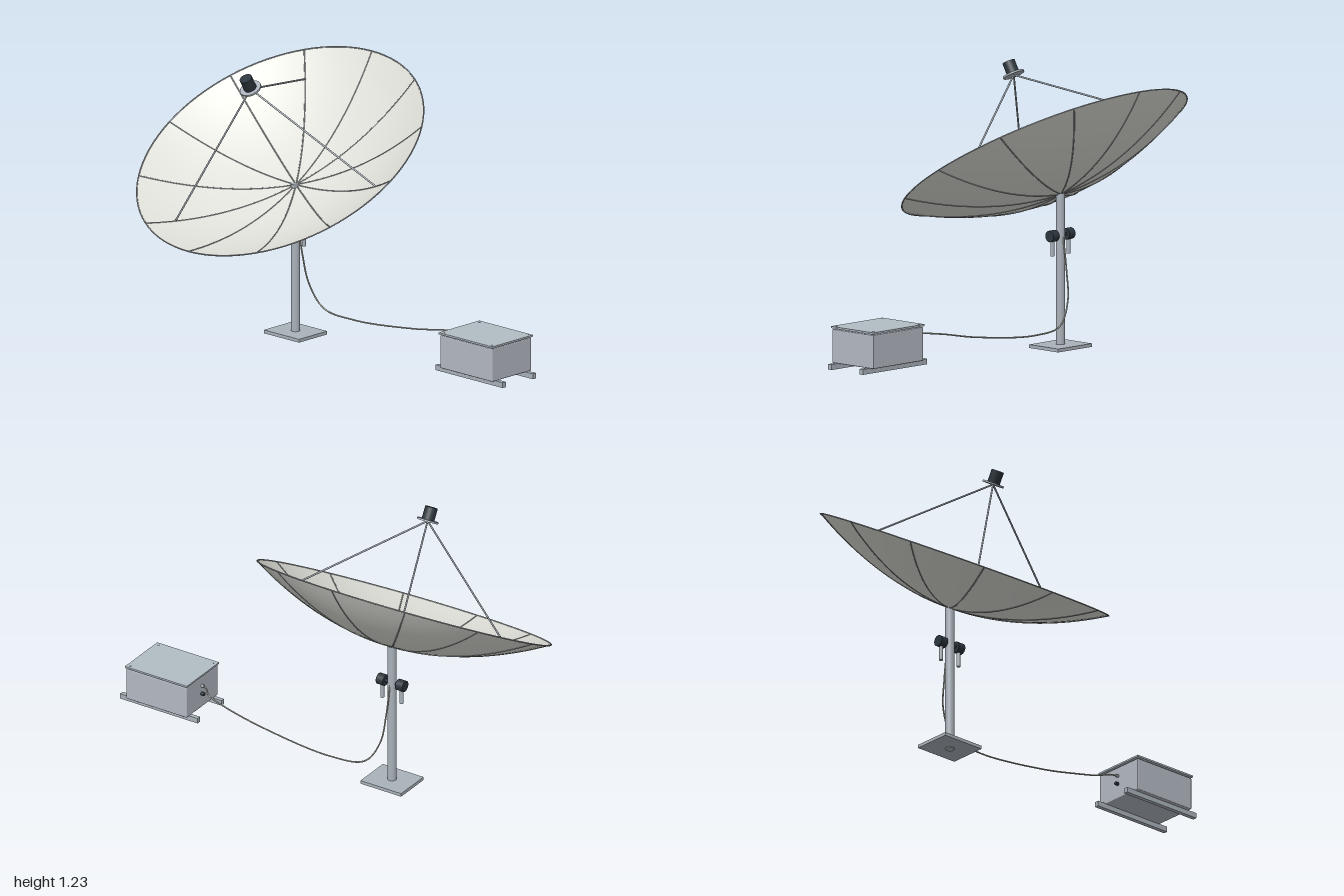
import * as THREE from 'three';
import { RoundedBoxGeometry } from 'three/addons/geometries/RoundedBoxGeometry.js';

const mat = (name, color, side = THREE.FrontSide) => {
  const m = new THREE.MeshStandardMaterial({ color, side });
  m.name = name;
  return m;
};

export function createModel() {
  const dishPaint = mat('dish off-white', 0xdfe0d9, THREE.DoubleSide);
  const ribPaint = mat('rib grey', 0xa6abae);
  const steel = mat('steel grey', 0xa9b2ba);
  const boxPaint = mat('cabinet grey', 0xb4b9c3);
  const lidPaint = mat('lid grey', 0xb2bcc4);
  const black = mat('dark housing', 0x2c363e);
  const cableGrey = mat('cable grey', 0xb4b4aa);

  const model = new THREE.Group();
  model.name = 'satelliteDishStation';
  const add = (parent, name, geo, material, x = 0, y = 0, z = 0) => {
    const mesh = new THREE.Mesh(geo, material);
    mesh.name = name;
    mesh.position.set(x, y, z);
    parent.add(mesh);
    return mesh;
  };
  const cyl = (r, h, sides = 24) => new THREE.CylinderGeometry(r, r, h, sides);
  // Straight rod between two points
  const rod = (parent, name, a, b, r, material) => {
    const dir = b.clone().sub(a);
    const mesh = add(parent, name, cyl(r, dir.length(), 10), material);
    mesh.position.copy(a).addScaledVector(dir, 0.5);
    mesh.quaternion.setFromUnitVectors(new THREE.Vector3(0, 1, 0), dir.normalize());
  };

  // Reflector assembly: local origin at the dish vertex, local y along its axis
  const R = 0.66, DEPTH = 0.197, PX = -0.337, PZ = -0.096;
  const height = (r) => DEPTH * (r / R) ** 2;
  const onDish = (r, a) => new THREE.Vector3(r * Math.cos(a), height(r), r * Math.sin(a));
  const dish = new THREE.Group();
  dish.name = 'reflectorAssembly';
  dish.position.set(PX, 0.675, -0.099);
  dish.rotation.x = Math.PI / 6;
  model.add(dish);

  const profile = [];
  for (let i = 0; i <= 24; i++) {
    const r = Math.max(0.0005, (R * i) / 24);
    profile.push(new THREE.Vector2(r, height(r)));
  }
  add(dish, 'reflector', new THREE.LatheGeometry(profile, 72), dishPaint);
  const rim = add(dish, 'rim', new THREE.TorusGeometry(R, 0.003, 8, 96), ribPaint, 0, DEPTH, 0);
  rim.rotation.x = Math.PI / 2;

  // Twelve radial ribs following the curve
  for (let i = 0; i < 12; i++) {
    const a = (i * Math.PI) / 6;
    const pts = [];
    for (let k = 0; k <= 10; k++) pts.push(onDish((R * k) / 10, a));
    add(dish, 'rib', new THREE.TubeGeometry(new THREE.CatmullRomCurve3(pts), 30, 0.003, 6), ribPaint);
  }

  // Feed horn on three struts
  const FEED = 0.565;
  for (let i = 0; i < 3; i++) {
    rod(dish, 'feedStrut', onDish(0.54, (i * 2 * Math.PI) / 3), new THREE.Vector3(0, FEED, 0), 0.004, steel);
  }
  add(dish, 'feedPlate', cyl(0.048, 0.008, 32), steel, 0, FEED + 0.002, 0);
  add(dish, 'feedHousing', cyl(0.028, 0.06, 24), black, 0, FEED + 0.032, 0);

  // Mast and ground plate
  add(model, 'mast', cyl(0.02, 0.68), steel, PX, 0.34, PZ);
  add(model, 'basePlate', new THREE.BoxGeometry(0.21, 0.015, 0.176), steel, PX, 0.012, PZ);

  // Pair of drive motors on the mast
  const axle = add(model, 'motorAxle', cyl(0.007, 0.1, 12), black, PX, 0.497, PZ);
  axle.rotation.z = Math.PI / 2;
  for (const s of [-1, 1]) {
    const x = PX + s * 0.05;
    const motor = add(model, 'motor', cyl(0.025, 0.036), black, x, 0.497, PZ);
    motor.rotation.z = Math.PI / 2;
    add(model, 'motorTube', cyl(0.009, 0.085, 16), steel, x, 0.452, PZ);
  }

  // Equipment cabinet on two rails
  const cabinet = new THREE.Group();
  cabinet.name = 'equipmentCabinet';
  cabinet.position.set(0.799, 0, -0.096);
  model.add(cabinet);
  add(cabinet, 'cabinetBody', new RoundedBoxGeometry(0.312, 0.147, 0.246, 2, 0.004), boxPaint, 0, 0.1485, 0);
  add(cabinet, 'cabinetLid', new THREE.BoxGeometry(0.32, 0.008, 0.254), lidPaint, 0, 0.231, 0);
  for (const sz of [-1, 1]) {
    add(cabinet, 'rail', new THREE.BoxGeometry(0.4, 0.024, 0.02), steel, 0, 0.065, sz * 0.094);
    for (const sx of [-1, 1]) {
      add(cabinet, 'lidScrew', cyl(0.005, 0.0155, 12), steel, sx * 0.142, 0.2285, sz * 0.11);
    }
  }
  // Cable gland above a small socket
  const gland = add(cabinet, 'cableGland', cyl(0.007, 0.014, 16), steel, -0.162, 0.18, -0.005);
  gland.rotation.z = Math.PI / 2;
  const socket = add(cabinet, 'socket', cyl(0.008, 0.016, 16), black, -0.163, 0.142, -0.005);
  socket.rotation.z = Math.PI / 2;

  // Cable from the mast to the cabinet
  const path = [
    [-0.337, 0.5, -0.112], [-0.333, 0.35, -0.136], [-0.317, 0.22, -0.16], [-0.25, 0.12, -0.18],
    [-0.08, 0.098, -0.193], [0.28, 0.132, -0.191], [0.48, 0.168, -0.181], [0.57, 0.18, -0.156],
    [0.61, 0.182, -0.115], [0.637, 0.18, -0.101],
  ].map((p) => new THREE.Vector3(...p));
  add(model, 'cable', new THREE.TubeGeometry(new THREE.CatmullRomCurve3(path), 90, 0.0035, 8), cableGrey);

  return model;
}
